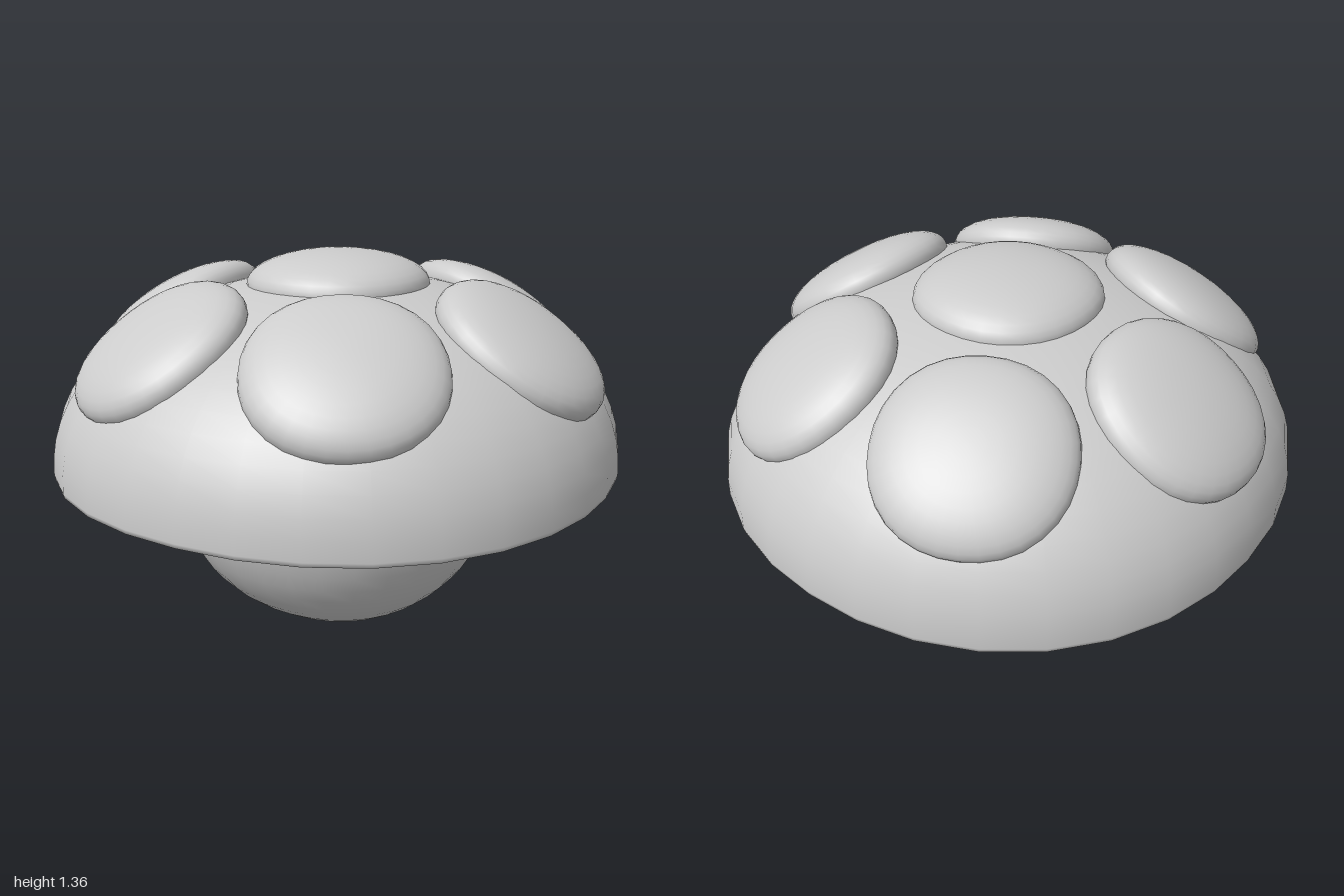
import * as THREE from 'three';
import { mergeVertices } from 'three/addons/utils/BufferGeometryUtils.js';

const SEGMENTS = 32;
const POWER = 2.134; // slightly squarish roundness shared by all parts

// Distance that puts a direction on the slightly squared circle
const squareness = (a, b) => Math.pow(Math.abs(a) ** POWER + Math.abs(b) ** POWER, -1 / POWER);

// Squarish quarter or half arc, from angle a0 to a1
function arc(radius, height, centreY, a0, a1, steps) {
  return Array.from({ length: steps + 1 }, (_, i) => {
    const a = a0 + ((a1 - a0) * i) / steps;
    const c = Math.cos(a);
    const s = Math.sin(a);
    const k = squareness(c, s);
    return [Math.max(0, radius * c * k), centreY + height * s * k];
  });
}

// Smooth lathe whose rings are slightly squared
function squaredLathe(profile) {
  const lathe = new THREE.LatheGeometry(profile.map(([r, y]) => new THREE.Vector2(r, y)), SEGMENTS);
  const pos = lathe.attributes.position;
  for (let i = 0; i < pos.count; i++) {
    const x = pos.getX(i);
    const z = pos.getZ(i);
    const r = Math.hypot(x, z);
    if (r < 1e-6) continue;
    const k = squareness(x / r, z / r);
    pos.setX(i, x * k);
    pos.setZ(i, z * k);
  }
  lathe.deleteAttribute('uv');
  lathe.deleteAttribute('normal');
  const smooth = mergeVertices(lathe, 1e-4);
  smooth.computeVertexNormals();
  return smooth;
}

export function createModel() {
  const model = new THREE.Group();
  const material = new THREE.MeshStandardMaterial({ color: 0xcccccc });

  function add(name, geometry, parent = model) {
    const mesh = new THREE.Mesh(geometry, material);
    mesh.name = name;
    parent.add(mesh);
    return mesh;
  }

  // Domed cap with a rim turned inwards
  add('cap', squaredLathe([
    [0.945, 0.645], [0.985, 0.612], [0.997, 0.61],
    ...arc(1, 0.645, 0.625, 0, Math.PI / 2, 16),
  ]));

  // Round stem flaring into the flat underside of the cap
  add('stemAndUnderside', squaredLathe([
    ...arc(0.6, 0.6, 0.6, -Math.PI / 2, -0.09, 14),
    [0.61, 0.58], [0.645, 0.612], [0.69, 0.635], [0.74, 0.64], [0.96, 0.64],
  ]));

  // Puffy spots: one on top and a ring of six set into the slope
  const spot = squaredLathe(arc(0.318, 0.12, 0, -Math.PI / 2, Math.PI / 2, 20));
  add('topSpot', spot).position.y = 1.24;

  for (let i = 0; i < 6; i++) {
    const pivot = new THREE.Group();
    pivot.name = 'spotPivot' + (i + 1);
    pivot.rotation.y = (i * Math.PI) / 3;
    const mesh = add('sideSpot' + (i + 1), spot, pivot);
    mesh.position.set(0.68, 1.075, 0);
    mesh.rotation.z = -0.6;
    model.add(pivot);
  }

  return model;
}
